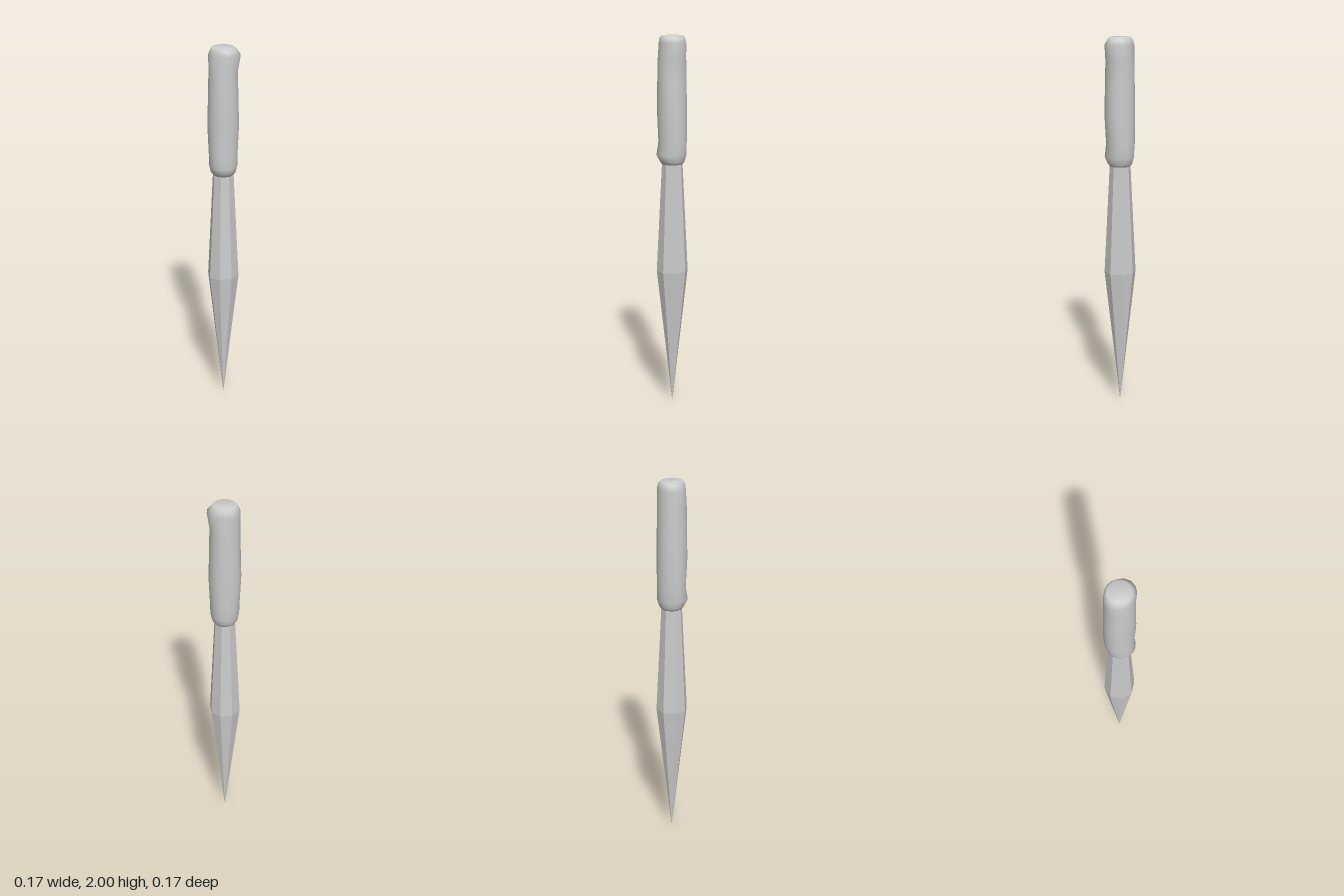
import * as THREE from 'three';
import { mergeVertices } from 'three/addons/utils/BufferGeometryUtils.js';

// Eight-sided spike, flat facets, widest below the middle
function createBlade() {
  const profile = [[0, 0], [0.003, 0.02], [0.085, 0.75], [0.055, 1.34]]
    .map(([r, y]) => new THREE.Vector2(r, y));
  const blade = new THREE.Mesh(
    new THREE.LatheGeometry(profile, 8),
    new THREE.MeshStandardMaterial({ color: 0xcccccc, flatShading: true }));
  blade.name = 'blade';
  return blade;
}

// Hand-shaped grip: each ring is y, radius, x shift, z shift, stretch along the x = z diagonal
function createHandle() {
  const rings = [
    [1.33, 0, 0, 0, 0],
    [1.33, 0.055, 0, 0, 0],
    [1.345, 0.066, 0, 0, 0],
    [1.38, 0.077, -0.002, 0.004, -0.004],
    [1.45, 0.076, 0.001, -0.002, 0],
    [1.6, 0.081, -0.001, 0.001, 0.002],
    [1.75, 0.078, -0.001, 0.001, 0],
    [1.88, 0.075, -0.001, 0.001, 0],
    [1.96, 0.077, 0.004, 0.004, 0.006],
    [1.985, 0.068, 0.001, 0.001, 0],
    [2, 0.056, 0, 0, 0],
    [2, 0, 0, 0, 0],
  ];
  let geometry = new THREE.LatheGeometry(rings.map(([y, r]) => new THREE.Vector2(r, y)), 16);
  const pos = geometry.attributes.position;
  for (let i = 0; i < pos.count; i++) {
    const [, r, dx, dz, stretch] = rings[i % rings.length];
    if (r === 0) continue;
    const x = pos.getX(i), z = pos.getZ(i);
    const scale = 1 + (stretch / r) * (2 * x * z) / (r * r);
    pos.setX(i, x * scale + dx);
    pos.setZ(i, z * scale + dz);
  }
  // Weld the seam so the shading runs smoothly around the grip
  geometry.deleteAttribute('uv');
  geometry.deleteAttribute('normal');
  geometry = mergeVertices(geometry, 1e-5);
  geometry.computeVertexNormals();
  const handle = new THREE.Mesh(geometry, new THREE.MeshStandardMaterial({ color: 0xcccccc }));
  handle.name = 'handle';
  return handle;
}

export function createModel() {
  const group = new THREE.Group();
  group.name = 'spike';
  group.add(createBlade(), createHandle());
  return group;
}
